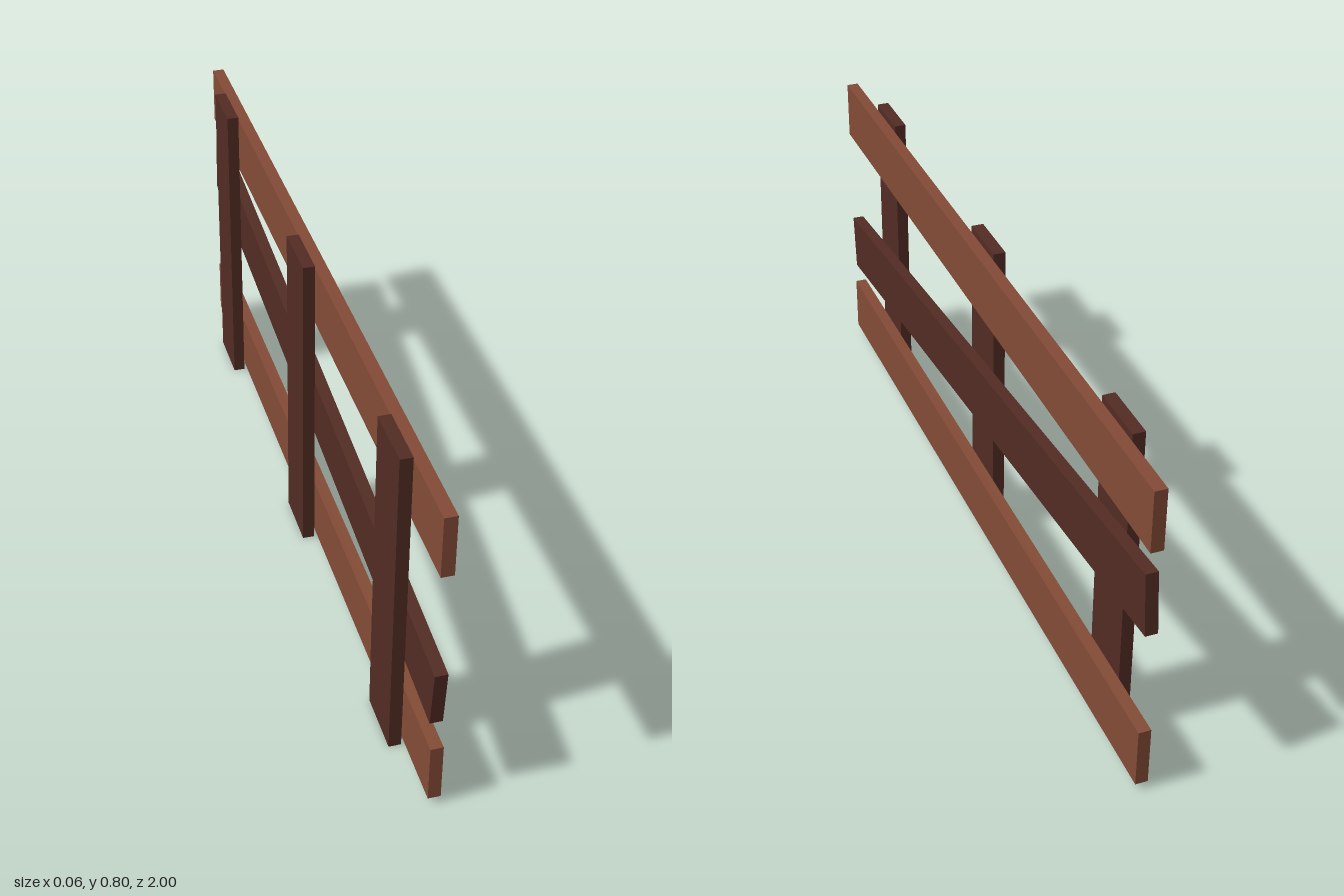
import * as THREE from 'three';

export function createModel() {
  const group = new THREE.Group();
  const lightWood = new THREE.MeshStandardMaterial({ color: 0x824b36 });
  lightWood.name = 'lightWood';
  const darkWood = new THREE.MeshStandardMaterial({ color: 0x522c23 });
  darkWood.name = 'darkWood';

  const thickness = 0.029, width = 0.148;

  function plank(name, height, length, x, y, z, material) {
    const mesh = new THREE.Mesh(new THREE.BoxGeometry(thickness, height, length), material);
    mesh.name = name;
    mesh.position.set(x, y, z);
    group.add(mesh);
    return mesh;
  }

  // Upright posts behind the rails
  [0.748, 0.014, -0.755].forEach((z, i) =>
    plank(`post${i + 1}`, 0.8, width, -0.0165, 0.4, z, darkWood));

  // Horizontal rails
  plank('bottomRail', width, 2, 0.0155, 0.091, 0, lightWood);
  plank('topRail', width, 2, 0.0155, 0.714, 0, lightWood);

  // Slanted brace, rising towards the back
  const brace = plank('diagonalBrace', width, 1.995, 0.0155, 0.402, 0, darkWood);
  brace.rotation.x = 0.101;

  return group;
}
